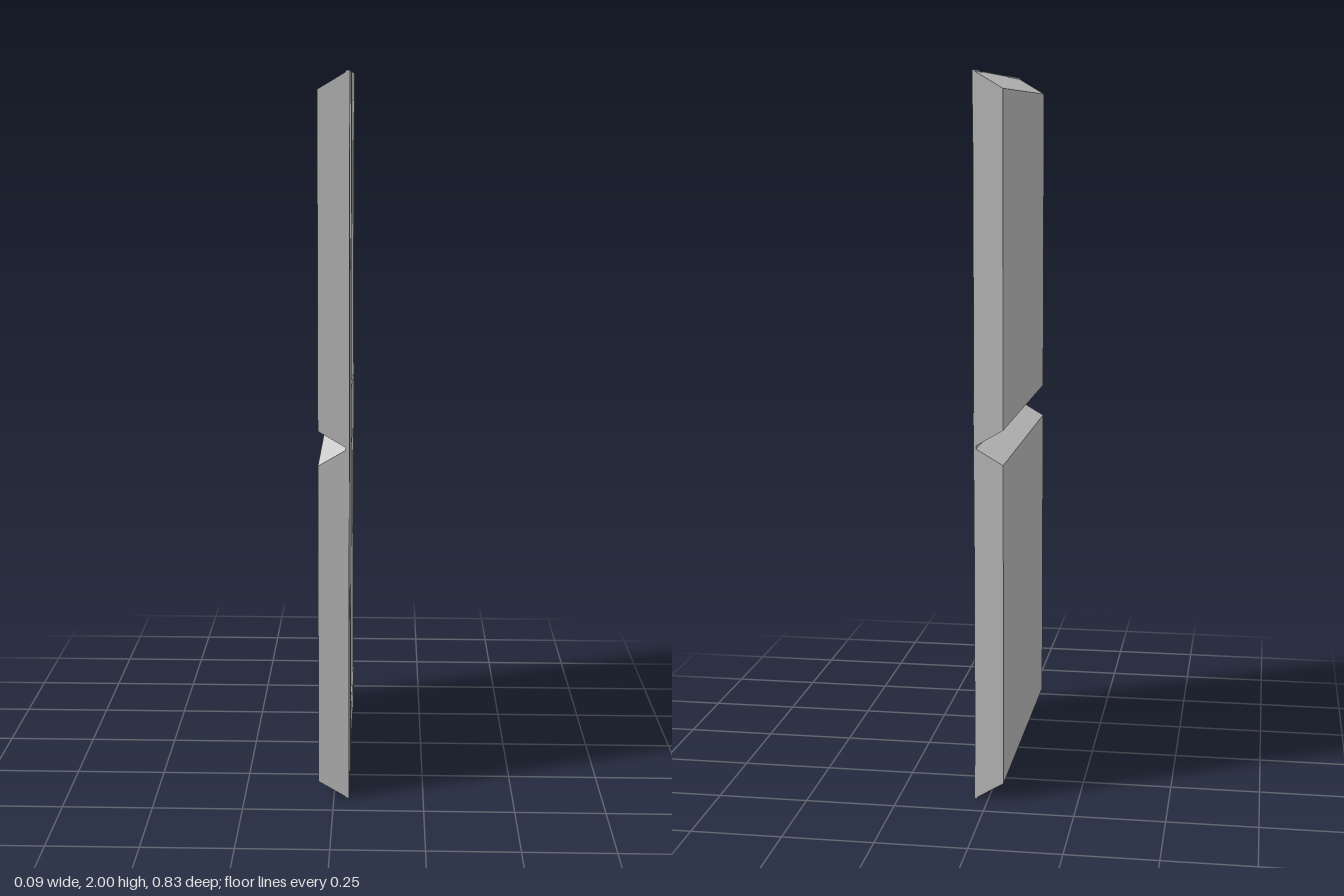
import * as THREE from 'three';

const HALF_Z = 0.415, BACK_X = -0.043, FACE_X = 0.035;

export function createModel() {
  const model = new THREE.Group();
  model.name = 'wallPanels';
  const material = new THREE.MeshStandardMaterial({ color: 0xcccccc, flatShading: true });

  const add = (parent, geometry, name) => {
    const mesh = new THREE.Mesh(geometry, material);
    mesh.name = name;
    parent.add(mesh);
  };
  const shapeOf = pts => new THREE.Shape(pts.map(p => new THREE.Vector2(...p)));

  // Raised plate between two z and two y values, standing out to x = top
  const plate = (parent, name, z0, z1, y0, y1, top) => {
    const g = new THREE.BoxGeometry(top - FACE_X + 0.004, y1 - y0, z1 - z0);
    g.translate((top + FACE_X - 0.004) / 2, (y0 + y1) / 2, (z0 + z1) / 2);
    add(parent, g, name);
  };

  // Wedge sloping down from the rib to the frame, profile in x and z
  const ramp = (parent, y0, y1) => {
    const g = new THREE.ExtrudeGeometry(
      shapeOf([[FACE_X, -0.165], [0.042, -0.165], [0.038, -0.132], [FACE_X, -0.132]].reverse()),
      { depth: y1 - y0, bevelEnabled: false });
    g.rotateX(-Math.PI / 2).translate(0, y0, 0);
    add(parent, g, 'cornerRamp');
  };

  for (const base of [0, 1]) {
    const panel = new THREE.Group();
    panel.name = base ? 'upperPanel' : 'lowerPanel';
    panel.position.y = base;
    model.add(panel);

    // Slab with sloped top and bottom
    const core = new THREE.ExtrudeGeometry(
      shapeOf([[BACK_X, 0.048], [FACE_X, 0.002], [FACE_X, 0.998], [BACK_X, 0.952]]),
      { depth: HALF_Z * 2, bevelEnabled: false });
    core.translate(0, 0, -HALF_Z);
    add(panel, core, 'slab');

    // Frame around the stepped recess, drawn in -z and y
    const frame = shapeOf([[-0.2, 0], [0.33, 0], [0.33, 1], [-0.2, 1]]);
    frame.holes.push(new THREE.Path([
      [-0.165, 0.135], [-0.135, 0.135], [-0.135, 0.088], [0.29, 0.088],
      [0.29, 0.92], [-0.135, 0.92], [-0.135, 0.872], [-0.165, 0.872],
    ].map(p => new THREE.Vector2(...p))));
    const frameGeo = new THREE.ExtrudeGeometry(frame, { depth: 0.003, bevelEnabled: false });
    frameGeo.rotateY(Math.PI / 2).translate(FACE_X, 0, 0);
    add(panel, frameGeo, 'recessFrame');

    // Full-height strips along the front
    plate(panel, 'frontStrip', 0.362, HALF_Z, 0, 1, 0.042);
    plate(panel, 'innerRib', 0.165, 0.222, 0, 1, 0.042);
    ramp(panel, 0, 0.135);
    ramp(panel, 0.872, 1);

    // Blocks in the channel
    for (const [y0, y1] of [[0, 0.09], [0.465, 0.55], [0.92, 1]])
      plate(panel, 'channelBlock', 0.222, 0.362, y0, y1, 0.0395);

    // Rear strip with end plates and corner tabs
    plate(panel, 'rearStrip', -HALF_Z, -0.33, 0.095, 0.91, 0.037);
    for (const [y0, y1] of [[0, 0.095], [0.91, 1]])
      plate(panel, 'rearEndPlate', -HALF_Z, -0.33, y0, y1, 0.0385);
    for (const [y0, y1] of [[0.002, 0.12], [0.885, 0.998]])
      plate(panel, 'cornerTab', -0.33, -0.29, y0, y1, 0.039);
  }
  return model;
}
